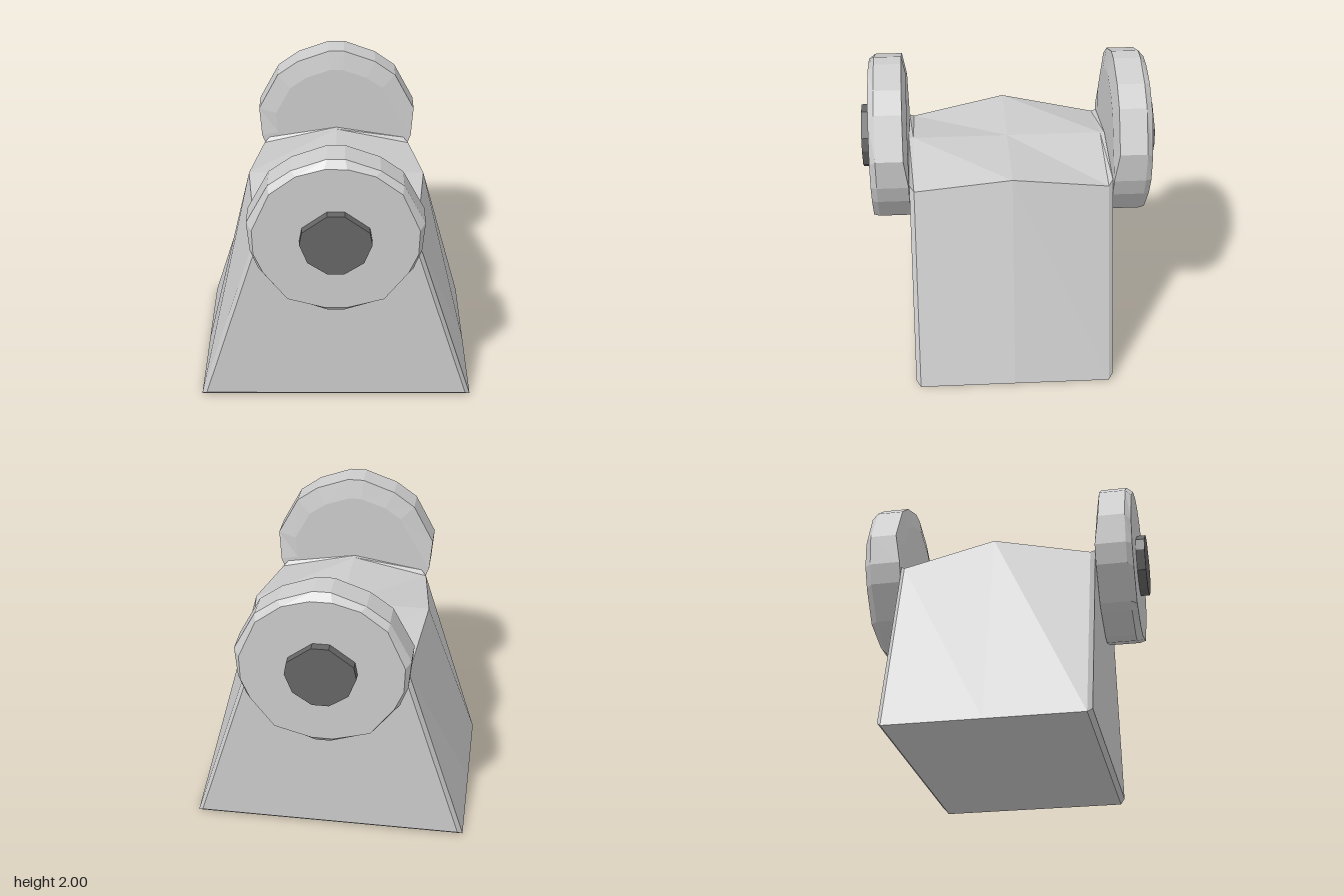
import * as THREE from 'three';

// Joins matching counter-clockwise rings (ordered back to front) and caps both ends.
function loft(rings) {
  const pos = [];
  const tri = (a, b, c) => pos.push(...a, ...b, ...c);
  const n = rings[0].length;
  for (let i = 0; i < rings.length - 1; i++) {
    for (let j = 0; j < n; j++) {
      const k = (j + 1) % n;
      const a = rings[i][j], b = rings[i][k], c = rings[i + 1][k], d = rings[i + 1][j];
      tri(a, b, c);
      tri(a, c, d);
    }
  }
  const back = rings[0], front = rings[rings.length - 1];
  for (let j = 1; j < n - 1; j++) {
    tri(back[0], back[j + 1], back[j]);
    tri(front[0], front[j], front[j + 1]);
  }
  const geo = new THREE.BufferGeometry();
  geo.setAttribute('position', new THREE.Float32BufferAttribute(pos, 3));
  geo.computeVertexNormals();
  return geo;
}

// Mirrors a right-hand outline (top to bottom) into a full ring; depth may vary per point.
function mirroredRing(half, depth) {
  const z = (p) => (typeof depth === 'function' ? depth(p) : depth);
  return [
    ...[...half].reverse().map((p) => [p[0], p[1], z(p)]),
    ...half.map((p) => [-p[0], p[1], z(p)]),
  ];
}

export function createModel() {
  const group = new THREE.Group();
  const lightGrey = new THREE.MeshStandardMaterial({ color: 0xcccccc });
  lightGrey.name = 'lightGrey';
  const darkGrey = new THREE.MeshStandardMaterial({ color: 0x666666 });
  darkGrey.name = 'darkGrey';

  const add = (parent, name, geometry, material) => {
    const mesh = new THREE.Mesh(geometry, material);
    mesh.name = name;
    parent.add(mesh);
  };

  // Tapered pedestal: depth, foot half-width, foot height, shoulder half-width, shoulder height
  const sections = [
    [-0.67, 0.9, 0.03, 0.49, 1.33],
    [-0.64, 0.935, 0, 0.525, 1.3],
    [0, 0.935, 0, 0.597, 1.41],
    [0.64, 0.935, 0, 0.525, 1.3],
    [0.67, 0.9, 0.03, 0.49, 1.33],
  ];
  add(group, 'pedestal', loft(sections.map(([z, foot, y, top, h]) => [
    [-foot, y, z], [foot, y, z], [top, h, z], [0, 1.412, z], [-top, h, z],
  ])), lightGrey);

  // Uneven bevelled disc outlines
  const rim = [
    [0.055, 2], [0.275, 1.92], [0.42, 1.815], [0.56, 1.55], [0.543, 1.345],
    [0.495, 1.215], [0.335, 1.005], [0.272, 0.97], [0.048, 0.887],
  ];
  const face = [
    [0.07, 1.95], [0.245, 1.9], [0.41, 1.775], [0.525, 1.515], [0.52, 1.34],
    [0.46, 1.2], [0.31, 1], [0.24, 0.98], [0.07, 0.932],
  ];
  const inner = rim.map(([x, y]) => [x * 0.78, 1.445 + (y - 1.445) * 0.76]);
  const discGeometry = loft([
    mirroredRing(inner, 0.672),
    mirroredRing(rim, (p) => (p[1] < 1.4 ? 0.672 : 0.7)),
    mirroredRing(rim, 0.88),
    mirroredRing(face, 0.92),
  ]);

  // Ten-sided hub
  const hub = [[0.055, 1.652], [0.212, 1.535], [0.228, 1.447], [0.178, 1.315], [0.055, 1.231]];
  const hubGeometry = loft([mirroredRing(hub, 0.9), mirroredRing(hub, 0.98)]);

  // Same disc and hub on the front and the back
  for (const [side, turn] of [['front', 0], ['back', Math.PI]]) {
    const wheel = new THREE.Group();
    wheel.name = side + 'Wheel';
    wheel.rotation.y = turn;
    add(wheel, side + 'Disc', discGeometry, lightGrey);
    add(wheel, side + 'Hub', hubGeometry, darkGrey);
    group.add(wheel);
  }
  return group;
}
